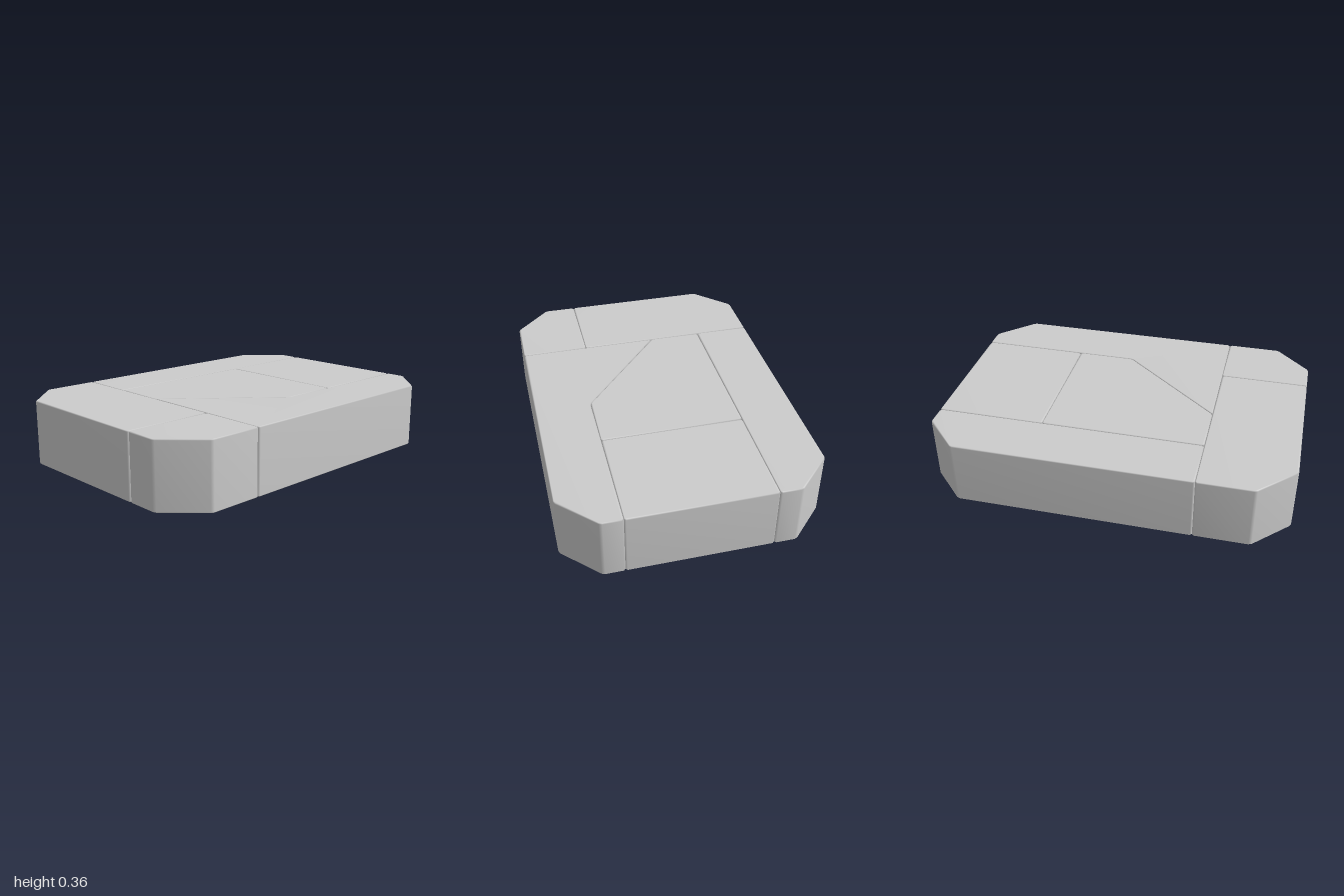
import * as THREE from 'three';
import { mergeVertices } from 'three/addons/utils/BufferGeometryUtils.js';

const HEIGHT = 0.36;
const BEVEL = 0.005;
const CUT = 0.01;

// Outlines of the fitted blocks as [x, z] corners
const blocks = {
  leftBackBlock: [[-1, -0.51], [-0.805, -0.705], [-0.5, -0.705], [-0.5, 0.325], [-1, 0.325]],
  leftFrontBlock: [[-1, 0.325], [-0.5, 0.325], [-0.5, 0.705], [-0.805, 0.705], [-1, 0.51]],
  backBlock: [[-0.5, -0.705], [0.805, -0.705], [1, -0.51], [1, -0.39], [-0.5, -0.39]],
  rightBlock: [[0.4, -0.39], [1, -0.39], [1, 0.395], [0.4, 0.395]],
  centreBlock: [[-0.5, -0.39], [0.4, -0.39], [0.4, 0.395], [0.07, 0.395], [-0.5, -0.09]],
  frontBlock: [[-0.5, -0.09], [0.07, 0.395], [1, 0.395], [1, 0.51], [0.805, 0.705], [-0.5, 0.705]],
};

// Replace each corner by a short chamfer
function chamferedShape(corners) {
  const pts = corners.map(([x, z]) => new THREE.Vector2(x, -z));
  const n = pts.length;
  const out = [];
  pts.forEach((p, i) => {
    for (const q of [pts[(i + n - 1) % n], pts[(i + 1) % n]]) {
      out.push(p.clone().add(q.clone().sub(p).setLength(CUT)));
    }
  });
  return new THREE.Shape(out);
}

// Upright block with fine bevels and soft normals
function blockGeometry(corners) {
  const geo = new THREE.ExtrudeGeometry(chamferedShape(corners), {
    depth: HEIGHT - 2 * BEVEL,
    bevelEnabled: true,
    bevelSegments: 1,
    bevelSize: BEVEL,
    bevelThickness: BEVEL,
    bevelOffset: -BEVEL,
  });
  geo.rotateX(-Math.PI / 2);
  geo.translate(0, BEVEL, 0);
  geo.deleteAttribute('uv');
  geo.deleteAttribute('normal');
  const smooth = mergeVertices(geo, 1e-4);
  smooth.computeVertexNormals();
  return smooth;
}

export function createModel() {
  const group = new THREE.Group();
  group.name = 'interlockingBlocks';
  const material = new THREE.MeshStandardMaterial({ color: 0xcccccc });
  for (const [name, corners] of Object.entries(blocks)) {
    const mesh = new THREE.Mesh(blockGeometry(corners), material);
    mesh.name = name;
    group.add(mesh);
  }
  return group;
}
